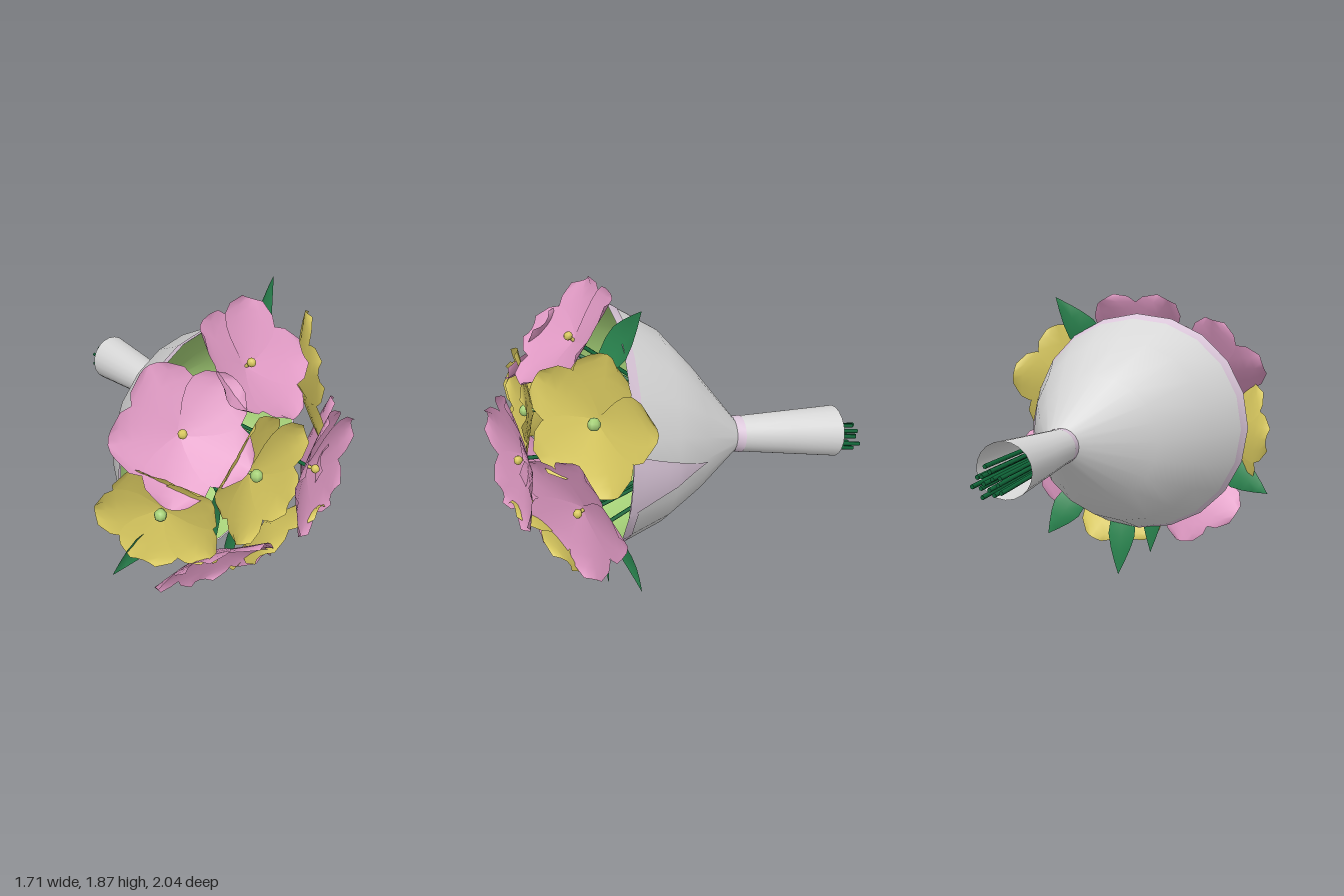
import * as THREE from 'three';
import { mergeVertices } from 'three/addons/utils/BufferGeometryUtils.js';

const V = (x, y, z) => new THREE.Vector3(x, y, z);
const mat = (name, color, side = THREE.FrontSide) => {
  const m = new THREE.MeshStandardMaterial({ color, side });
  m.name = name;
  return m;
};

// Smooth grid surface from fn(u, v) with u, v in 0..1; the front is du x dv
function grid(nu, nv, fn, flip = false) {
  const pos = [], idx = [];
  for (let i = 0; i <= nu; i++)
    for (let j = 0; j <= nv; j++) pos.push(...fn(i / nu, j / nv).toArray());
  for (let i = 0; i < nu; i++)
    for (let j = 0; j < nv; j++) {
      const a = i * (nv + 1) + j, b = a + nv + 1;
      if (flip) idx.push(a, a + 1, b, b, a + 1, b + 1);
      else idx.push(a, b, a + 1, b, b + 1, a + 1);
    }
  let g = new THREE.BufferGeometry();
  g.setAttribute('position', new THREE.Float32BufferAttribute(pos, 3));
  g.setIndex(idx);
  g = mergeVertices(g, 1e-4);
  g.computeVertexNormals();
  return g;
}

// Wrapper rings from mouth to tail end: centre x, y, z, radius
const RINGS = [
  [-0.02, 1.045, 0.41, 0.705],
  [0.06, 1.02, 0.14, 0.565],
  [0.17, 1.0, -0.04, 0.375],
  [0.33, 0.99, -0.25, 0.1],
  [0.48, 0.95, -0.85, 0.15],
];
function wrapPoint(s, a, off = 0) {
  const i = Math.min(Math.floor(s), RINGS.length - 2), t = s - i;
  const [x, y, z, r] = RINGS[i].map((n, k) => THREE.MathUtils.lerp(n, RINGS[i + 1][k], t));
  const dx = Math.cos(a) * (r + off), dy = Math.sin(a) * (r + off);
  return V(x + dx, y + dy, z + 0.15 * dx - 0.08 * dy);
}
const sleeve = (s0, s1, n, off, flip) =>
  grid(n, 20, (u, v) => wrapPoint(s0 + (s1 - s0) * u, (v % 1) * Math.PI * 2, off), flip);

// Petal along +y, opening towards +z
const PETAL_WIDTH = [0.025, 0.07, 0.12, 0.155, 0.168, 0.145, 0.07];
function petalGeometry(len) {
  return grid(6, 4, (u, v) => {
    const w = PETAL_WIDTH[Math.round(u * 6)], k = v * 2 - 1;
    return V(-w * k, len * u * (1 - 0.06 * k * k), 0.085 * u + 0.03 * k * k * u);
  }, true);
}

export function createModel() {
  const root = new THREE.Group();
  root.name = 'bouquet';
  const D = THREE.DoubleSide;
  const M = {
    paper: mat('paper white', 0xd6d6d6),
    tail: mat('tail paper white', 0xd6d6d6, D),
    trim: mat('pale pink trim', 0xdac6d9, D),
    liner: mat('light green', 0xa6d178),
    pink: mat('petal pink', 0xdf99c3, D),
    yellow: mat('petal yellow', 0xdaca60, D),
    leaf: mat('leaf green', 0x2a8650, D),
    stem: mat('stem green', 0x0f6538),
  };
  const add = (parent, name, geo, m) => {
    const mesh = new THREE.Mesh(geo, m);
    mesh.name = name;
    parent.add(mesh);
    return mesh;
  };

  // Paper cone, its liner, the open tail and pink trim
  add(root, 'wrapper', sleeve(0, 3, 3, 0), M.paper);
  add(root, 'wrapperLiner', sleeve(0, 3, 3, -0.008, true), M.liner);
  add(root, 'wrapperTail', sleeve(3, 4, 2, 0), M.tail);
  add(root, 'rimBand', sleeve(0, 0.2, 1, 0.003), M.trim);
  add(root, 'neckBand', sleeve(3, 3.08, 1, 0.003), M.trim);
  add(root, 'sideFlap', grid(8, 6, (u, v) =>
    wrapPoint(u * 2, -0.05 + (v - 0.5) * 0.52 * (1 - u), 0.005)), M.trim);

  // Rod between two points
  function rod(parent, name, a, b, r, m) {
    const d = b.clone().sub(a);
    const mesh = add(parent, name, new THREE.CylinderGeometry(r, r, d.length(), 6), m);
    mesh.position.copy(a).addScaledVector(d, 0.5);
    mesh.quaternion.setFromUnitVectors(V(0, 1, 0), d.normalize());
  }
  // Stem from a bloom through the neck and out of the tail
  let stemCount = 0;
  function stem(top) {
    const k = stemCount++, a = k * 2.4, q = Math.sqrt((k + 0.5) / 14);
    const neck = V(0.33 + 0.07 * q * Math.cos(a), 0.99 + 0.07 * q * Math.sin(a), -0.25);
    const end = V(0.52 + 0.085 * q * Math.cos(a), 0.91 + 0.09 * q * Math.sin(a), -0.99 + 0.02 * (k % 3));
    rod(root, 'stem', top, neck, 0.012, M.stem);
    rod(root, 'stemEnd', neck, end, 0.012, M.stem);
  }

  // Blooms: colour, centre, facing direction, roll in degrees, petal length
  const blooms = [
    ['pink', [0.14, 1.01, 0.9], [0.08, 0, 1], 0, 0.38],
    ['pink', [0.46, 0.82, 0.7], [0.42, -0.12, 0.9], -18, 0.39],
    ['pink', [0.0, 1.57, 0.55], [0, 0.7, 0.7], 36, 0.36],
    ['pink', [-0.48, 1.38, 0.5], [-0.52, 0.58, 0.62], 20, 0.37],
    ['pink', [-0.36, 0.59, 0.63], [-0.4, -0.55, 0.72], 36, 0.36],
    ['yellow', [-0.22, 1.11, 0.75], [-0.12, 0.08, 1], 4, 0.37],
    ['yellow', [0.47, 1.31, 0.6], [0.6, 0.15, 0.78], -12, 0.38],
    ['yellow', [0.13, 0.53, 0.7], [0.02, -0.65, 0.76], -3, 0.37],
    ['yellow', [-0.62, 1.0, 0.5], [-0.92, -0.1, 0.4], 20, 0.34],
  ];
  for (const [color, c, n, roll, len] of blooms) {
    const flower = new THREE.Group();
    flower.name = color + 'Flower';
    const geo = petalGeometry(len);
    for (let i = 0; i < 5; i++) {
      const p = add(flower, 'petal', geo, M[color]);
      p.rotation.z = THREE.MathUtils.degToRad(roll + i * 72);
      p.position.z = 0.002 * i;
    }
    // Stamen post with a knob
    const isPink = color === 'pink';
    rod(flower, 'stamen', V(0, 0, -0.01), V(0, 0, 0.05), 0.01, isPink ? M.yellow : M.liner);
    const knob = add(flower, 'flowerCentre', new THREE.SphereGeometry(isPink ? 0.025 : 0.035, 7, 5),
      isPink ? M.yellow : M.liner);
    knob.position.z = 0.05;
    flower.position.set(...c);
    flower.lookAt(V(...c).add(V(...n)));
    root.add(flower);
    stem(V(...c));
  }

  // Pointed leaves: base, tip, half width
  const LEAF_WIDTH = [0.15, 0.65, 0.95, 1, 0.75, 0.4, 0];
  const leaves = [
    [[0.2, 1.46, 0.52], [0.51, 1.86, 0.38], 0.1],
    [[-0.5, 0.84, 0.5], [-0.86, 0.62, 0.35], 0.1],
    [[-0.13, 0.8, 0.5], [-0.1, 0.17, 0.46], 0.085],
    [[0.08, 0.55, 0.54], [0.12, 0.005, 0.46], 0.09],
    [[0.36, 0.62, 0.55], [0.6, 0.28, 0.44], 0.1],
  ];
  for (const [b, t, w] of leaves) {
    const base = V(...b), tip = V(...t);
    const side = tip.clone().sub(base).cross(V(0, 0, 1)).normalize();
    add(root, 'leaf', grid(6, 2, (u, v) => {
      const k = v * 2 - 1, p = base.clone().lerp(tip, u);
      p.addScaledVector(side, k * w * LEAF_WIDTH[Math.round(u * 6)]);
      p.z += 0.03 * Math.sin(u * Math.PI) * (Math.abs(k) - 1.5);
      return p;
    }), M.leaf);
    stem(base);
  }
  return root;
}
